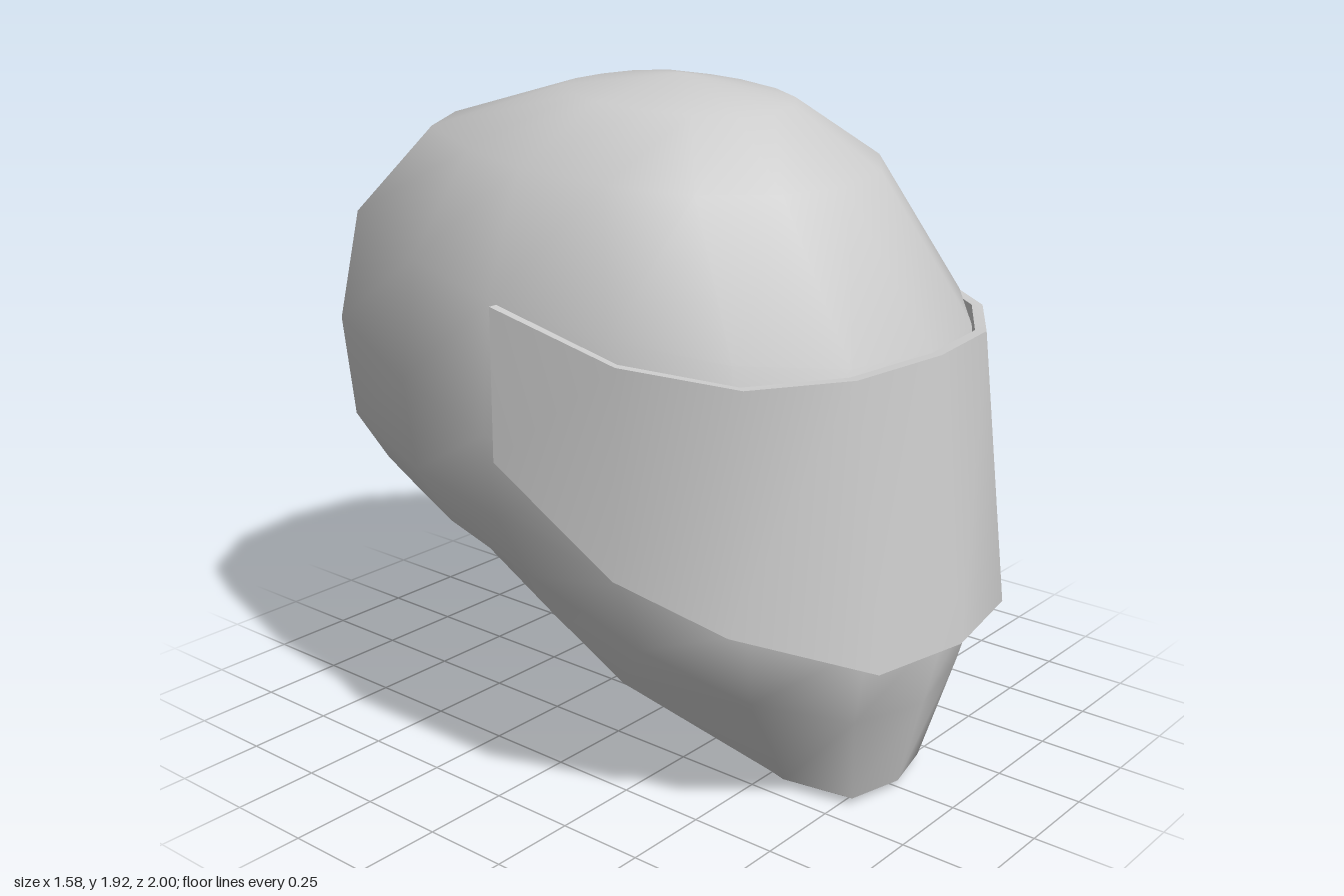
import * as THREE from 'three';
import { mergeVertices } from 'three/addons/utils/BufferGeometryUtils.js';

const material = new THREE.MeshStandardMaterial({ color: 0xcccccc, side: THREE.DoubleSide });

// Smooth surface through rows of [x, y, z] points, rows running downwards
function loft(rows) {
  const n = rows[0].length;
  const index = [];
  for (let r = 0; r < rows.length - 1; r++) {
    for (let i = 0; i < n - 1; i++) {
      const a = r * n + i, b = a + 1, c = a + n, d = c + 1;
      index.push(a, c, b, b, c, d);
    }
  }
  const geometry = new THREE.BufferGeometry();
  geometry.setAttribute('position', new THREE.Float32BufferAttribute(rows.flat(2), 3));
  geometry.setIndex(index);
  const merged = mergeVertices(geometry, 1e-4);
  merged.computeVertexNormals();
  return merged;
}

function addMesh(parent, name, rows) {
  const mesh = new THREE.Mesh(loft(rows), material);
  mesh.name = name;
  parent.add(mesh);
}

const flip = ([x, y, z]) => [-x, y, z];

// Closed ring from the points of its left half, front to back
const closeRing = (half) => [...half, ...half.slice(0, -1).reverse().map(flip)];

// Rounded outline of a quarter ring: share of the width and of the length
const across = [0, 0.4, 0.74, 0.93, 1];
const reachFront = [1, 0.94, 0.73, 0.41, 0];
const reachBack = [1, 0.96, 0.79, 0.37, 0];

// Ring through a front, a side and a back point; bend shapes the height towards the front
function ring({ front: [fz, fy], side: [sx, sy, sz], back: [bz, by], bend = 1 }) {
  const half = [];
  for (let i = 0; i <= 8; i++) {
    const k = Math.min(i, 8 - i);
    const [ez, ey, reach, power] = i <= 4 ? [fz, fy, reachFront[k], bend] : [bz, by, reachBack[k], 1];
    half.push([sx * across[k], sy + (ey - sy) * reach ** power, sz + (ez - sz) * reach]);
  }
  return closeRing(half);
}

export function createModel() {
  const helmet = new THREE.Group();
  helmet.name = 'helmet';

  // Lower edge of the shell, and the smaller opening inside it
  const edge = [
    [0, 0.02, 0.82], [0.165, 0.02, 0.78], [0.19, 0.015, 0.57], [0.53, 0.345, 0.27], [0.55, 0.49, 0.03],
    [0.5, 0.63, -0.33], [0.44, 0.665, -0.6], [0.27, 0.685, -0.81], [0, 0.685, -0.84],
  ];
  const opening = [
    [0, 0, 0.55], [0.1, 0, 0.55], [0.17, 0, 0.55], [0.47, 0.32, 0.27], [0.5, 0.48, 0.03],
    [0.45, 0.62, -0.33], [0.35, 0.66, -0.56], [0.25, 0.7, -0.8], [0, 0.7, -0.8],
  ];

  // Shell: rings from the crown down to the slanted lower edge
  const shell = [
    { front: [0.04, 1.92], side: [0, 1.92, 0.04], back: [0.04, 1.92] },
    { front: [0.35, 1.84], side: [0.31, 1.87, 0], back: [-0.26, 1.895] },
    { front: [0.59, 1.67], side: [0.56, 1.72, -0.05], back: [-0.66, 1.78] },
    { front: [0.87, 1.27], side: [0.715, 1.4, -0.02], back: [-0.92, 1.55] },
    { front: [0.91, 0.9], side: [0.755, 1.05, -0.01], back: [-1, 1.24] },
    { front: [0.955, 0.53], side: [0.73, 0.82, 0], back: [-0.975, 0.93], bend: 1.1 },
    { front: [0.89, 0.28], side: [0.64, 0.63, 0.03], back: [-0.91, 0.8], bend: 1.1 },
  ];
  addMesh(helmet, 'shell', [...shell.map(ring), closeRing(edge)]);
  addMesh(helmet, 'openingLip', [closeRing(edge), closeRing(opening)]);

  // Underside closing the opening from chin to neck
  addMesh(helmet, 'underside', opening.slice(2, 8).map((p) => [flip(p), p]));

  // Visor: one half of the upper and lower edge, mirrored across x
  const mirror = (half) => [...half.slice(1).reverse().map(flip), ...half];
  const inset = (row) => row.map(([x, y, z]) => [x * 0.965, y, z * 0.965]);
  const top = mirror([[0, 1.268, 0.9], [0.31, 1.26, 0.85], [0.56, 1.26, 0.69], [0.71, 1.3, 0.41], [0.74, 1.395, 0.01]]);
  const bottom = mirror([[0, 0.49, 1], [0.31, 0.495, 0.945], [0.59, 0.615, 0.675], [0.74, 0.75, 0.42], [0.79, 1, 0.06]]);
  const topIn = inset(top), bottomIn = inset(bottom);

  const visor = new THREE.Group();
  visor.name = 'visor';
  addMesh(visor, 'visorOutside', [top, bottom]);
  addMesh(visor, 'visorInside', [bottomIn, topIn]);
  addMesh(visor, 'visorTopEdge', [topIn, top]);
  addMesh(visor, 'visorBottomEdge', [bottom, bottomIn]);
  const last = top.length - 1;
  addMesh(visor, 'visorLeftEnd', [[top[last], topIn[last]], [bottom[last], bottomIn[last]]]);
  addMesh(visor, 'visorRightEnd', [[topIn[0], top[0]], [bottomIn[0], bottom[0]]]);
  helmet.add(visor);

  return helmet;
}
